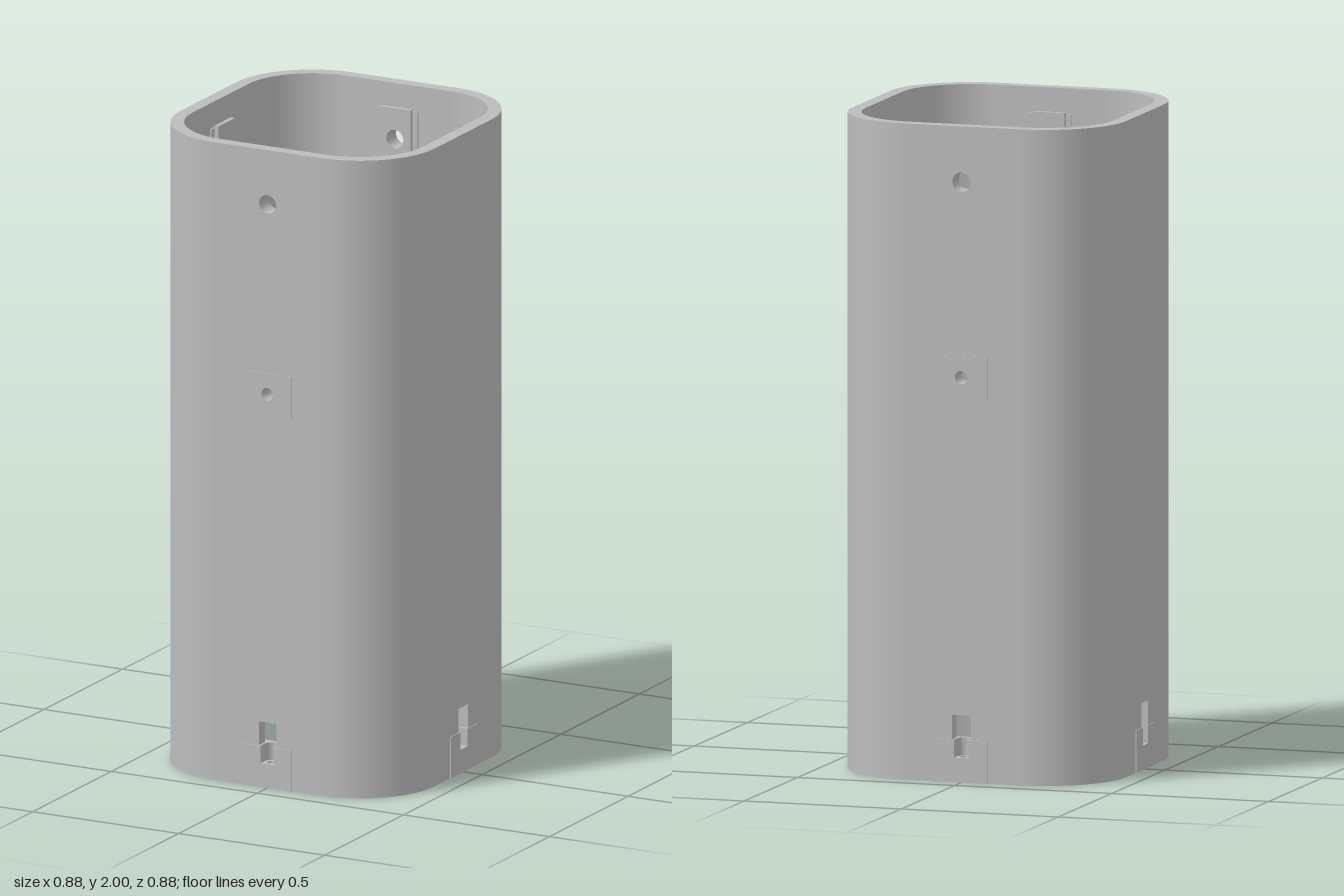
import * as THREE from 'three';

const OUT = 0.435, IN = 0.394, FLAT = 0.18, H = 2; // wall faces, half flat width, height
const HALF = 0.083, FACE = 0.438, BACK = 0.371;    // insert half width, outer and inner face

const grey = new THREE.MeshStandardMaterial({ color: 0xbcbcbc });
grey.name = 'grey';

function mesh(name, geometry, parent) {
  const m = new THREE.Mesh(geometry, grey);
  m.name = name;
  parent.add(m);
  return m;
}

function polygon(points) {
  return new THREE.Shape(points.map(([x, y]) => new THREE.Vector2(x, y)));
}

function rect(x0, x1, y0, y1) {
  return polygon([[x0, y0], [x1, y0], [x1, y1], [x0, y1]]);
}

function circle(x, y, r) {
  const p = new THREE.Path();
  p.absarc(x, y, r, 0, Math.PI * 2, true);
  return p;
}

// Extrude an upright (x, y) shape between two z planes
function plate(shape, z0, z1) {
  return new THREE.ExtrudeGeometry(shape, { depth: z1 - z0, bevelEnabled: false, curveSegments: 16 }).translate(0, 0, z0);
}

// Extrude a plan shape, drawn as (x, -z), between two heights
function slab(shape, y0, y1) {
  return new THREE.ExtrudeGeometry(shape, { depth: y1 - y0, bevelEnabled: false, curveSegments: 12 })
    .rotateX(-Math.PI / 2).translate(0, y0, 0);
}

// Drop the faces hidden where a flat wall meets the round corners
function openSides(geometry) {
  const p = geometry.attributes.position, n = geometry.attributes.normal;
  const pos = [], nor = [];
  for (let i = 0; i < p.count; i += 3) {
    if (Math.abs(n.getX(i)) > 0.9 && Math.abs(p.getX(i)) > FLAT - 0.001) continue;
    for (let j = i; j < i + 3; j++) {
      pos.push(p.getX(j), p.getY(j), p.getZ(j));
      nor.push(n.getX(j), n.getY(j), n.getZ(j));
    }
  }
  const g = new THREE.BufferGeometry();
  g.setAttribute('position', new THREE.Float32BufferAttribute(pos, 3));
  g.setAttribute('normal', new THREE.Float32BufferAttribute(nor, 3));
  return g;
}

function makeSide(hasHoles, tabSign) {
  const side = new THREE.Group();

  // Flat wall, notched for the foot insert and the slot above it
  const wall = polygon([
    [-FLAT, 0], [-HALF, 0], [-HALF, 0.13], [-0.03, 0.13], [-0.03, 0.205], [0.03, 0.205],
    [0.03, 0.13], [HALF, 0.13], [HALF, 0], [FLAT, 0], [FLAT, H], [-FLAT, H],
  ]);
  if (hasHoles) {
    wall.holes.push(circle(0, 1.83, 0.029));
    wall.holes.push(rect(-HALF, HALF, 1.17, 1.3));
  }
  mesh('wall', openSides(plate(wall, IN, OUT)), side);

  // Foot insert with a screw bore and an open screw-head recess
  const base = rect(-HALF, HALF, -FACE, -BACK);
  base.holes.push(circle(0, -0.412, 0.012));
  mesh('footInsertBase', slab(base, 0, 0.075), side);
  const recess = new THREE.Shape();
  recess.moveTo(-HALF, -FACE);
  recess.lineTo(-0.023, -FACE);
  recess.lineTo(-0.023, -0.41);
  recess.absarc(0, -0.41, 0.023, Math.PI, 0, true);
  recess.lineTo(0.023, -FACE);
  recess.lineTo(HALF, -FACE);
  recess.lineTo(HALF, -BACK);
  recess.lineTo(-HALF, -BACK);
  mesh('footInsertTop', slab(recess, 0.075, 0.13), side);

  // Inner rail: thin backing plus a raised strip
  const backing = rect(-0.07, 0.07, 1.3, 1.92);
  const strip = rect(-0.053, 0.053, 1.3, 1.927);
  if (hasHoles) {
    backing.holes.push(circle(0, 1.83, 0.029));
    strip.holes.push(circle(0, 1.83, 0.029));
    // Middle insert, slightly proud of the wall
    const insert = rect(-HALF, HALF, 1.17, 1.3);
    insert.holes.push(circle(0, 1.235, 0.02));
    mesh('middleInsert', plate(insert, BACK, FACE), side);
  }
  mesh('railBacking', plate(backing, 0.388, IN), side);
  mesh('railStrip', plate(strip, 0.374, 0.388), side);

  // Locking tab beside the rail
  const tab = new THREE.BoxGeometry(0.062, 0.13, IN - 0.358);
  mesh('lockingTab', tab, side).position.set(0.097 * tabSign, 1.235, (IN + 0.358) / 2);
  return side;
}

// Quarter-round corner made of four smooth bands
function makeCorner() {
  const corner = new THREE.Group();
  const r0 = IN - FLAT, r1 = OUT - FLAT;
  const ring = [[r1, 0], [r1, H], [r0, H], [r0, 0]];
  const names = ['cornerOuter', 'cornerTop', 'cornerInner', 'cornerBottom'];
  ring.forEach((a, i) => {
    const b = ring[(i + 1) % 4];
    const profile = [new THREE.Vector2(...a), new THREE.Vector2(...b)];
    const band = mesh(names[i], new THREE.LatheGeometry(profile, 16, 0, Math.PI / 2), corner);
    band.position.set(FLAT, 0, FLAT);
  });
  return corner;
}

export function createModel() {
  const model = new THREE.Group();
  model.name = 'squareTube';
  const names = ['front', 'right', 'back', 'left'];
  names.forEach((name, k) => {
    const side = makeSide(k % 2 === 0, k < 2 ? -1 : 1);
    side.name = name + 'Side';
    side.rotation.y = k * Math.PI / 2;
    const corner = makeCorner();
    corner.name = name + 'Corner';
    corner.rotation.y = k * Math.PI / 2;
    model.add(side, corner);
  });
  return model;
}
